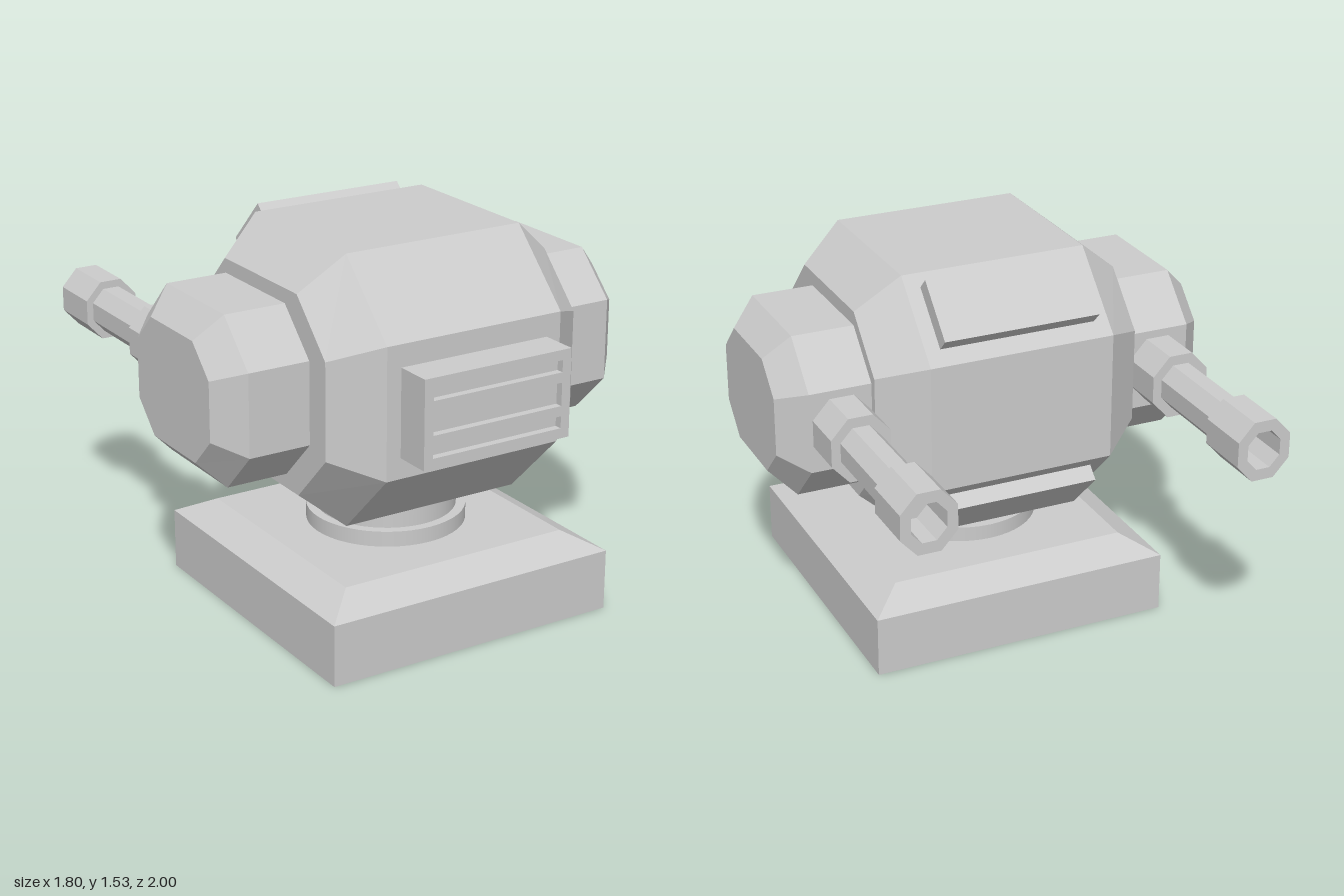
import * as THREE from 'three';

const flat = new THREE.MeshStandardMaterial({ color: 0xcccccc, flatShading: true });
const smooth = new THREE.MeshStandardMaterial({ color: 0xcccccc });
const shell = new THREE.MeshStandardMaterial({ color: 0xcccccc, flatShading: true, side: THREE.DoubleSide });

function add(parent, name, geometry, material = flat, x = 0, y = 0, z = 0) {
  const mesh = new THREE.Mesh(geometry, material);
  mesh.name = name;
  mesh.position.set(x, y, z);
  parent.add(mesh);
  return mesh;
}

// Eight-sided hull along x; each section is [x, halfZ, halfY, flatZ, flatY]
function octagonHull(sections) {
  const rings = sections.map(([x, hz, hy, fz, fy]) =>
    [[hz, -fy], [hz, fy], [fz, hy], [-fz, hy], [-hz, fy], [-hz, -fy], [-fz, -hy], [fz, -hy]]
      .map(([z, y]) => [x, y, z]));
  const out = [];
  const tri = (...corners) => corners.forEach((c) => out.push(...c));
  for (let s = 0; s < rings.length - 1; s++) {
    for (let i = 0; i < 8; i++) {
      const j = (i + 1) % 8;
      const [a, b, c, d] = [rings[s][i], rings[s + 1][i], rings[s + 1][j], rings[s][j]];
      tri(a, b, c);
      tri(a, c, d);
    }
  }
  // End caps
  const first = rings[0], last = rings[rings.length - 1];
  for (let i = 1; i < 7; i++) {
    tri(first[0], first[i], first[i + 1]);
    tri(last[0], last[i + 1], last[i]);
  }
  const geometry = new THREE.BufferGeometry();
  geometry.setAttribute('position', new THREE.Float32BufferAttribute(out, 3));
  geometry.computeVertexNormals();
  return geometry;
}

// Faceted turned shape with flats facing the axes; radii are measured to the flats
function faceted(profile, sides) {
  const k = 1 / Math.cos(Math.PI / sides);
  return new THREE.LatheGeometry(
    profile.map(([r, h]) => new THREE.Vector2(r * k, h)), sides, Math.PI / sides);
}

function rectangle(Type, x0, y0, x1, y1) {
  const p = new Type();
  p.moveTo(x0, y0);
  p.lineTo(x1, y0);
  p.lineTo(x1, y1);
  p.lineTo(x0, y1);
  p.closePath();
  return p;
}

export function createModel() {
  const model = new THREE.Group();
  model.name = 'turret';

  // Hollow square base with a bevelled top
  add(model, 'base', faceted([[0.62, 0], [0.62, 0.245], [0.49, 0.315], [0, 0.315]], 4), shell, 0, 0, 0.26);

  // Swivel
  add(model, 'collar', new THREE.CylinderGeometry(0.315, 0.315, 0.07, 48), smooth, 0, 0.342, 0.26);
  add(model, 'neck', new THREE.CylinderGeometry(0.277, 0.277, 0.16, 48), smooth, 0, 0.44, 0.26);

  // Main body
  add(model, 'body', octagonHull([
    [-0.55, 0.46, 0.39, 0.265, 0.19],
    [-0.38, 0.6, 0.53, 0.327, 0.257],
    [0.38, 0.6, 0.53, 0.327, 0.257],
    [0.55, 0.46, 0.39, 0.265, 0.19],
  ]), flat, 0, 1, 0.25);

  // Front vent: backing block and slotted plate
  const vent = new THREE.Group();
  vent.name = 'frontVent';
  model.add(vent);
  add(vent, 'ventBlock', new THREE.BoxGeometry(0.64, 0.345, 0.17), flat, 0, 0.997, 0.885);
  const plate = rectangle(THREE.Shape, -0.32, 0.825, 0.32, 1.17);
  for (const [low, high] of [[0.865, 0.912], [0.952, 1.043], [1.083, 1.13]]) {
    plate.holes.push(rectangle(THREE.Path, -0.282, low, 0.282, high));
  }
  add(vent, 'ventPlate', new THREE.ExtrudeGeometry(plate, { depth: 0.03, bevelEnabled: false }), flat, 0, 0, 0.97);

  // Slanted panels on the rear slopes, above and below
  for (const s of [1, -1]) {
    const panel = add(model, s > 0 ? 'upperRearPanel' : 'lowerRearPanel',
      new THREE.BoxGeometry(0.64, 0.1, 0.256), flat, 0, 1 + s * 0.408, -0.22);
    panel.rotation.x = -s * Math.PI / 4;
  }

  // Side pods and barrels
  const podShape = octagonHull([
    [0, 0.39, 0.333, 0.22, 0.162],
    [0.26, 0.39, 0.333, 0.22, 0.162],
    [0.36, 0.28, 0.235, 0.162, 0.117],
  ]);
  const gunShape = faceted([
    [0, 0.16], [0.13, 0.16], [0.13, 0.37], [0.09, 0.37], [0.09, 0.77],
    [0.12, 0.77], [0.12, 1], [0.075, 1], [0.075, 0.82], [0, 0.82],
  ], 8);
  for (const s of [1, -1]) {
    const side = s > 0 ? 'left' : 'right';
    const pod = add(model, side + 'Pod', podShape, flat, s * 0.54, 1, 0.21);
    if (s < 0) pod.rotation.z = Math.PI;
    const gun = add(model, side + 'Barrel', gunShape, flat, s * 0.67, 1, 0);
    gun.rotation.x = -Math.PI / 2;
    gun.scale.x = 0.91;
  }
  return model;
}
